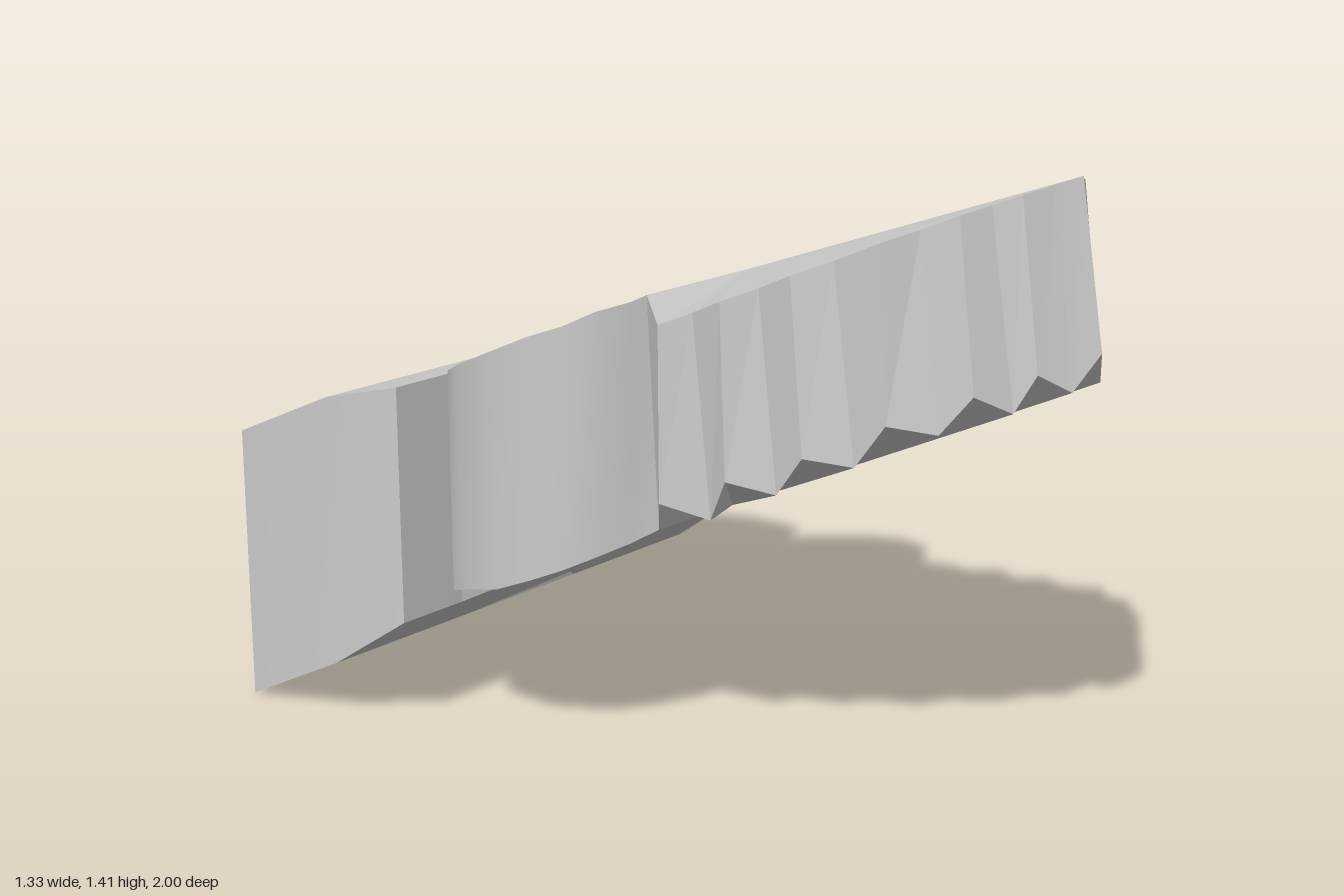
import * as THREE from 'three';
import { toCreasedNormals } from 'three/addons/utils/BufferGeometryUtils.js';

// Collects triangles for the left half and mirrors each across x = 0
class HalfSolid {
  constructor() { this.pos = []; }
  tri(a, b, c) {
    const m = ([x, y, z]) => [-x, y, z];
    this.pos.push(...a, ...b, ...c, ...m(a), ...m(c), ...m(b));
  }
  // Side wall between a lower and an upper edge, both running back to front
  wall(low, high) {
    for (let i = 0; i < low.length - 1; i++) {
      this.tri(low[i], high[i], high[i + 1]);
      this.tri(low[i], high[i + 1], low[i + 1]);
    }
  }
  // Fill an outline, facing up or down
  cap(pts, up) {
    const flat = pts.map(([x, , z]) => new THREE.Vector2(x, z));
    for (const [i, j, k] of THREE.ShapeUtils.triangulateShape(flat, [])) {
      const a = flat[i], b = flat[j], c = flat[k];
      const cross = (b.x - a.x) * (c.y - a.y) - (b.y - a.y) * (c.x - a.x);
      if ((cross < 0) === up) this.tri(pts[i], pts[j], pts[k]);
      else this.tri(pts[i], pts[k], pts[j]);
    }
  }
  // Triangles spreading from a hub to an edge that runs back to front
  fan(hub, edge, up) {
    for (let i = 0; i < edge.length - 1; i++) {
      if (up) this.tri(hub, edge[i + 1], edge[i]);
      else this.tri(hub, edge[i], edge[i + 1]);
    }
  }
  mesh(name, crease) {
    const g = new THREE.BufferGeometry();
    g.setAttribute('position', new THREE.Float32BufferAttribute(this.pos, 3));
    const mat = new THREE.MeshStandardMaterial({ color: 0xcccccc });
    const mesh = new THREE.Mesh(toCreasedNormals(g, crease), mat);
    mesh.name = name;
    return mesh;
  }
}

export function createModel() {
  const group = new THREE.Group();

  // Points shared between parts
  const backLow = [.665, 0, -1], backHigh = [.665, .68, -1];
  const bendLow = [.665, .145, -.7], bendHigh = [.665, .81, -.7];
  const shoulderLow = [.63, .28, -.5], shoulderHigh = [.63, .857, -.5];
  const notch = [.46, .86, -.49];
  const midBend = [0, .145, -.7], pocketSide = [.21, .145, -.7];
  const pocketTip = [0, .35, -.37], pocketDeep = [0, .275, -.68];
  const fanLow = [0, .515, 0], fanHigh = [0, 1.105, .05];

  // Edge of the curled groove, from the shoulder into the lobe
  const groove = [
    [.44, .285, -.49], [.22, .32, -.43], [.135, .41, -.23], [.17, .46, -.12],
    [.315, .485, -.067], [.44, .455, -.13], [.445, .43, -.2], [.4, .36, -.34], [.42, .335, -.47],
  ];
  const grooveRoof = groove.map(([x, y, z]) => [x, y + .06, z]);

  // Round lobe, lower and upper edge
  const lobeLow = [
    groove[8], [.52, .345, -.44], [.565, .375, -.36], [.595, .41, -.23], [.585, .45, -.13],
    [.56, .48, -.06], [.52, .505, -.01], [.44, .535, .045], [.38, .56, .08],
  ];
  const lobeHigh = [
    notch, [.52, .885, -.44], [.57, .92, -.36], [.6, .975, -.23], [.59, 1.02, -.13],
    [.555, 1.05, -.05], [.5, 1.08, 0], [.42, 1.095, .04], [.38, 1.105, .05],
  ];

  // Pleated leaf edge, alternating outer points and inner folds
  const leafLow = [
    lobeLow[8], [.44, .645, .13], [.405, .62, .25], [.43, .725, .31], [.375, .70, .41],
    [.39, .80, .49], [.335, .785, .59], [.335, .89, .67], [.265, .87, .76],
    [.24, .96, .83], [.16, .915, .88], [.13, 1.0, .92], [.06, .955, .965], [0, 1.035, 1],
  ];
  const leafHigh = [
    lobeHigh[8],
    ...[[.44, .13], [.405, .2], [.43, .295], [.375, .36], [.39, .455], [.335, .53], [.335, .65],
      [.265, .705], [.24, .785], [.17, .82], [.13, .87], [.055, .905], [0, .94]]
      .map(([x, z]) => [x, 1 + .44 * z, z]),
  ];

  // Rear block with shoulders
  const block = new HalfSolid();
  block.wall([[0, 0, -1], backLow, bendLow, shoulderLow, groove[0]],
    [[0, .68, -1], backHigh, bendHigh, shoulderHigh, notch]);
  block.cap([[0, .68, -1], backHigh, bendHigh, [0, .81, -.7]], true);
  block.cap([[0, .81, -.7], bendHigh, shoulderHigh, notch, [0, .86, -.49]], true);
  block.cap([[0, 0, -1], backLow, bendLow, pocketSide, midBend], false);
  // Three-sided pocket under the middle
  block.tri(midBend, pocketSide, pocketDeep);
  block.tri(pocketSide, pocketTip, pocketDeep);
  group.add(block.mesh('rearBlock', .3));

  // Scroll lobes with the curled grooves underneath
  const scroll = new HalfSolid();
  scroll.wall(lobeLow, lobeHigh);
  scroll.cap([[0, .86, -.49], ...lobeHigh, fanHigh], true);
  scroll.cap([pocketTip, pocketSide, bendLow, shoulderLow, ...groove, ...lobeLow.slice(1), fanLow], false);
  scroll.wall(groove, grooveRoof);
  scroll.cap(grooveRoof, false);
  scroll.wall([grooveRoof[0], grooveRoof[8]], [notch, notch]);
  group.add(scroll.mesh('scrollLobes', .6));

  // Leaf with radiating pleats underneath
  const leaf = new HalfSolid();
  leaf.wall(leafLow, leafHigh);
  leaf.fan(fanLow, leafLow, false);
  leaf.fan(fanHigh, leafHigh, true);
  group.add(leaf.mesh('pleatedLeaf', .1));

  return group;
}
